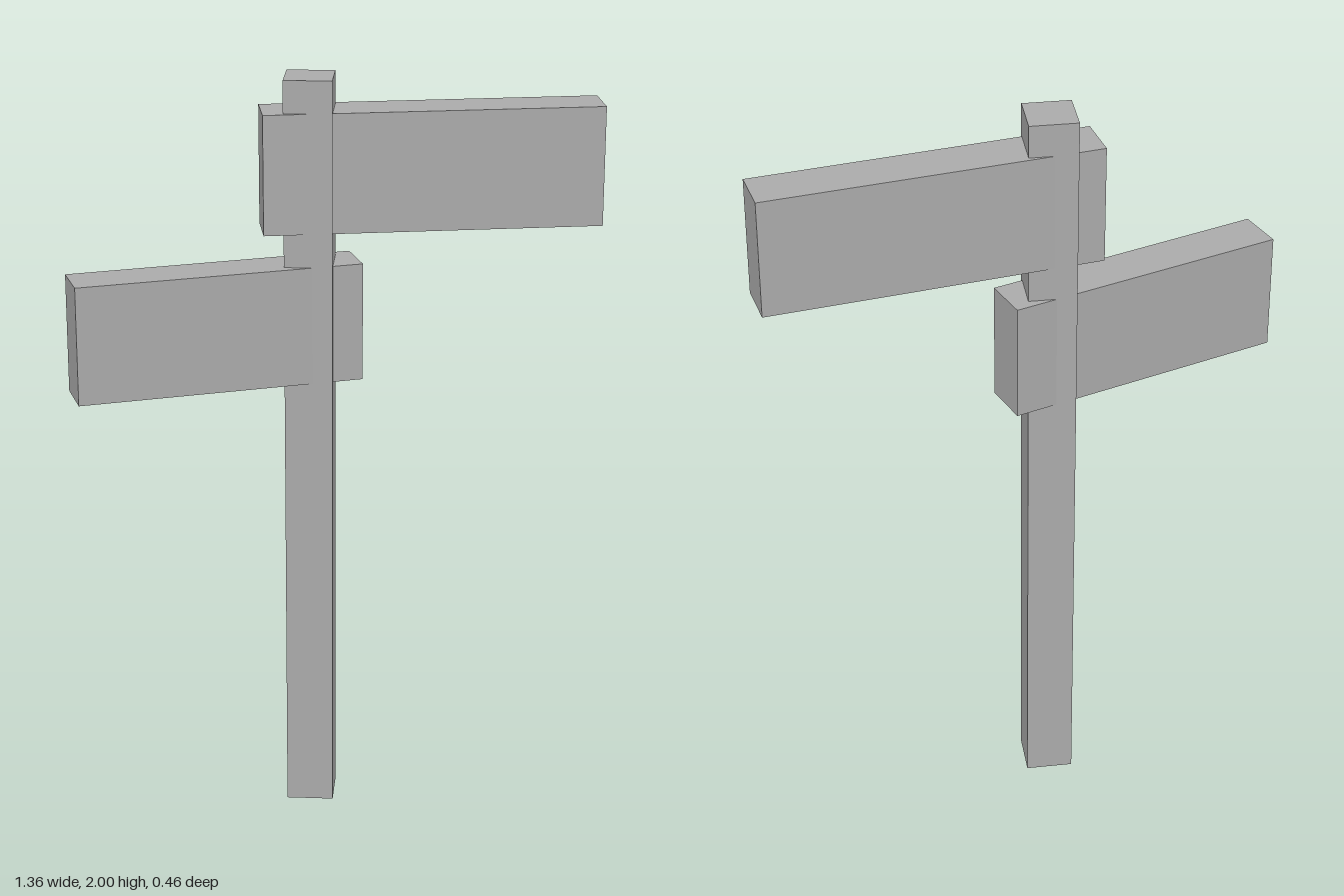
import * as THREE from 'three';

export function createModel() {
  const group = new THREE.Group();
  group.name = 'signpost';
  const grey = new THREE.MeshStandardMaterial({ color: 0xaaaaaa });
  grey.name = 'plain grey';
  const T = 0.124; // shared thickness of post and boards

  const addBox = (name, size, position, turn = 0) => {
    const mesh = new THREE.Mesh(new THREE.BoxGeometry(...size), grey);
    mesh.name = name;
    mesh.position.set(...position);
    mesh.rotation.y = THREE.MathUtils.degToRad(turn);
    group.add(mesh);
  };

  // Square upright post
  addBox('post', [T, 2, T], [-0.071, 1, -0.043]);
  // Direction boards, each swung around the post
  addBox('upperBoard', [0.873, 0.312, T], [0.237, 1.759, -0.097], 10);
  addBox('lowerBoard', [0.75, 0.312, T], [-0.307, 1.359, 0.043], 20);

  return group;
}
